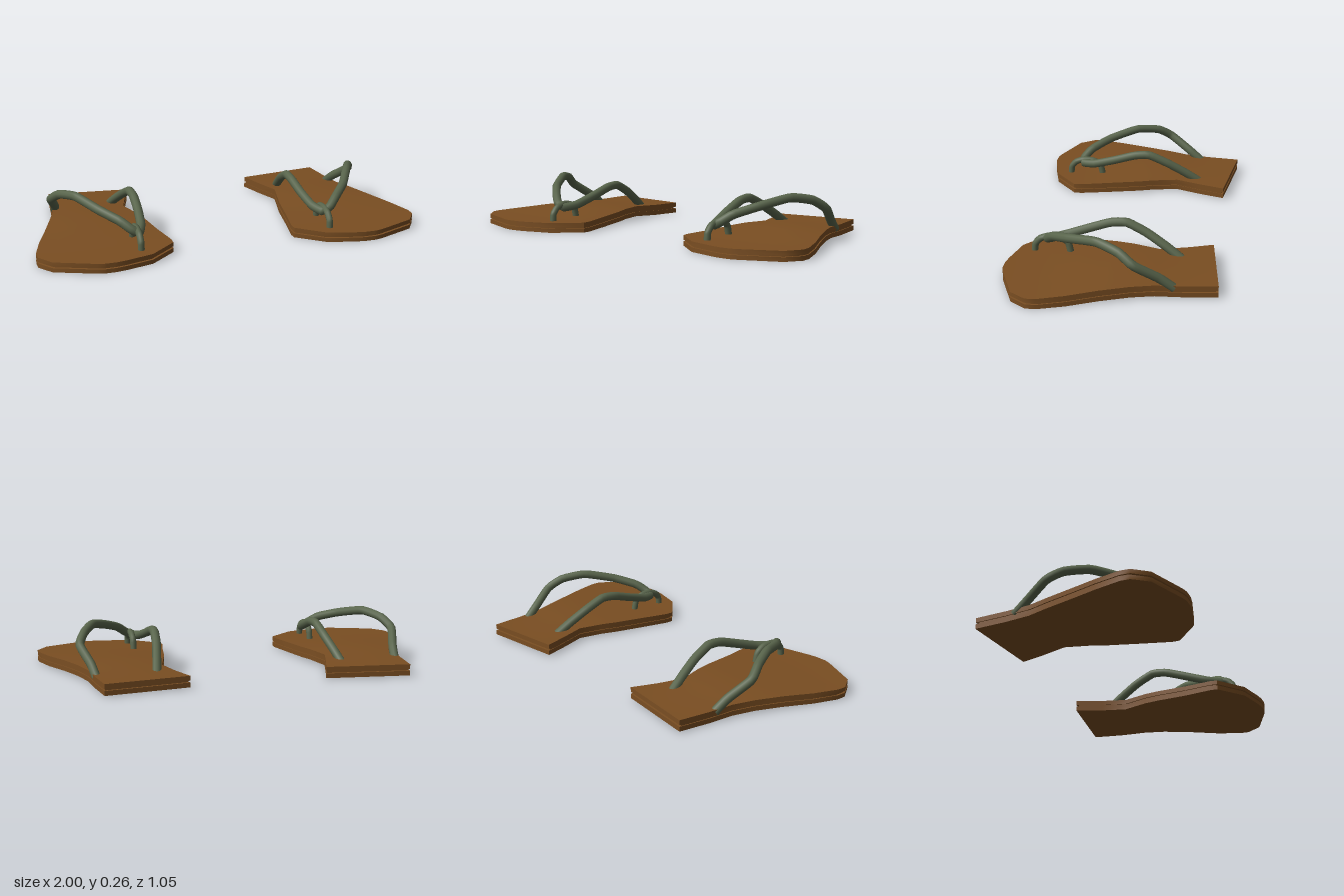
import * as THREE from 'three';
import { toCreasedNormals } from 'three/addons/utils/BufferGeometryUtils.js';

// Sole rows, heel to toe: inner edge x, z; outer edge x, z; underside y; top y; crown of the top
const ROWS = [
  [0.35, -0.475, 0.78, -0.53, 0.008, 0.066, 0],
  [0.395, -0.34, 0.80, -0.36, 0.006, 0.064, 0.002],
  [0.435, -0.21, 0.815, -0.23, 0.01, 0.067, 0.005],
  [0.40, -0.08, 0.85, -0.12, 0.014, 0.07, 0.007],
  [0.38, 0.0, 0.90, 0.02, 0.011, 0.067, 0.007],
  [0.352, 0.17, 0.96, 0.17, 0.005, 0.06, 0.004],
  [0.322, 0.32, 1.0, 0.30, 0.003, 0.056, 0.001],
  [0.324, 0.36, 1.0, 0.35, 0.003, 0.055, 0],
  [0.46, 0.476, 0.945, 0.43, 0.003, 0.054, 0],
  [0.60, 0.513, 0.745, 0.513, 0.003, 0.053, 0],
  [0.65, 0.522, 0.71, 0.522, 0.003, 0.053, 0],
];
const ACROSS = 6;

// One slab of the sole, between two fractions of its thickness
function slab(side, from, to, inset) {
  const pos = [], index = [];
  const n = ACROSS + 1;
  for (const [xi, zi, xo, zo, low, high, crown] of ROWS) {
    for (const f of [from, to]) {
      for (let i = 0; i <= ACROSS; i++) {
        const t = side > 0 ? i / ACROSS : 1 - i / ACROSS;
        let x = xi + (xo - xi) * t, z = zi + (zo - zi) * t;
        x = 0.64 + (x - 0.64) * (1 - inset);
        z *= 1 - inset;
        const y = low + (high - low) * f + crown * f * Math.sin(Math.PI * t);
        pos.push(side * x, y, z);
      }
    }
  }
  const at = (row, level, i) => row * 2 * n + level * n + i;
  const quad = (a, b, c, d) => index.push(a, b, c, a, c, d);
  const last = ROWS.length - 1;
  for (let r = 0; r < last; r++) {
    for (let i = 0; i < ACROSS; i++) {
      quad(at(r, 1, i), at(r + 1, 1, i), at(r + 1, 1, i + 1), at(r, 1, i + 1));
      quad(at(r, 0, i), at(r, 0, i + 1), at(r + 1, 0, i + 1), at(r + 1, 0, i));
    }
    quad(at(r, 0, 0), at(r + 1, 0, 0), at(r + 1, 1, 0), at(r, 1, 0));
    quad(at(r, 0, ACROSS), at(r, 1, ACROSS), at(r + 1, 1, ACROSS), at(r + 1, 0, ACROSS));
  }
  for (let i = 0; i < ACROSS; i++) {
    quad(at(0, 0, i), at(0, 1, i), at(0, 1, i + 1), at(0, 0, i + 1));
    quad(at(last, 0, i), at(last, 0, i + 1), at(last, 1, i + 1), at(last, 1, i));
  }
  const geo = new THREE.BufferGeometry();
  geo.setAttribute('position', new THREE.Float32BufferAttribute(pos, 3));
  geo.setIndex(index);
  return toCreasedNormals(geo, 0.7);
}

// Outer strap from the heel, round the toe post and back along the inner side
const STRAP = [
  [0.785, 0.045, -0.32], [0.80, 0.10, -0.25], [0.838, 0.175, -0.135], [0.805, 0.222, -0.06],
  [0.745, 0.241, 0.055], [0.66, 0.208, 0.20], [0.575, 0.172, 0.295], [0.53, 0.138, 0.332],
  [0.492, 0.118, 0.335], [0.462, 0.128, 0.26], [0.445, 0.165, 0.14], [0.438, 0.2, 0.03],
  [0.44, 0.205, -0.05], [0.45, 0.16, -0.15], [0.47, 0.10, -0.25], [0.487, 0.045, -0.33],
];
// Small loop that holds the strap between the toes
const LOOP = [
  [0.5, 0.04, 0.407], [0.5, 0.09, 0.402], [0.5, 0.12, 0.375], [0.5, 0.135, 0.33],
  [0.5, 0.13, 0.275], [0.5, 0.105, 0.237], [0.5, 0.04, 0.222],
];

function tube(points, side, radius) {
  const path = new THREE.CatmullRomCurve3(
    points.map(([x, y, z]) => new THREE.Vector3(side * x, y, z)), false, 'catmullrom', 0.25);
  return new THREE.TubeGeometry(path, points.length * 4, radius, 10);
}

export function createModel() {
  const brown = new THREE.MeshStandardMaterial({ color: 0x7a4e22 });
  brown.name = 'sole brown';
  const green = new THREE.MeshStandardMaterial({ color: 0x59654c });
  green.name = 'strap green';

  const model = new THREE.Group();
  model.name = 'sandals';
  for (const side of [1, -1]) {
    const sandal = new THREE.Group();
    sandal.name = side > 0 ? 'leftSandal' : 'rightSandal';
    const add = (name, geo, mat) => {
      const mesh = new THREE.Mesh(geo, mat);
      mesh.name = name;
      sandal.add(mesh);
    };
    add('outsole', slab(side, 0, 0.42, 0), brown);
    add('soleGroove', slab(side, 0.4, 0.6, 0.025), brown);
    add('footbed', slab(side, 0.58, 1, 0), brown);
    add('strap', tube(STRAP, side, 0.023), green);
    add('toeLoop', tube(LOOP, side, 0.017), green);
    model.add(sandal);
  }
  return model;
}
